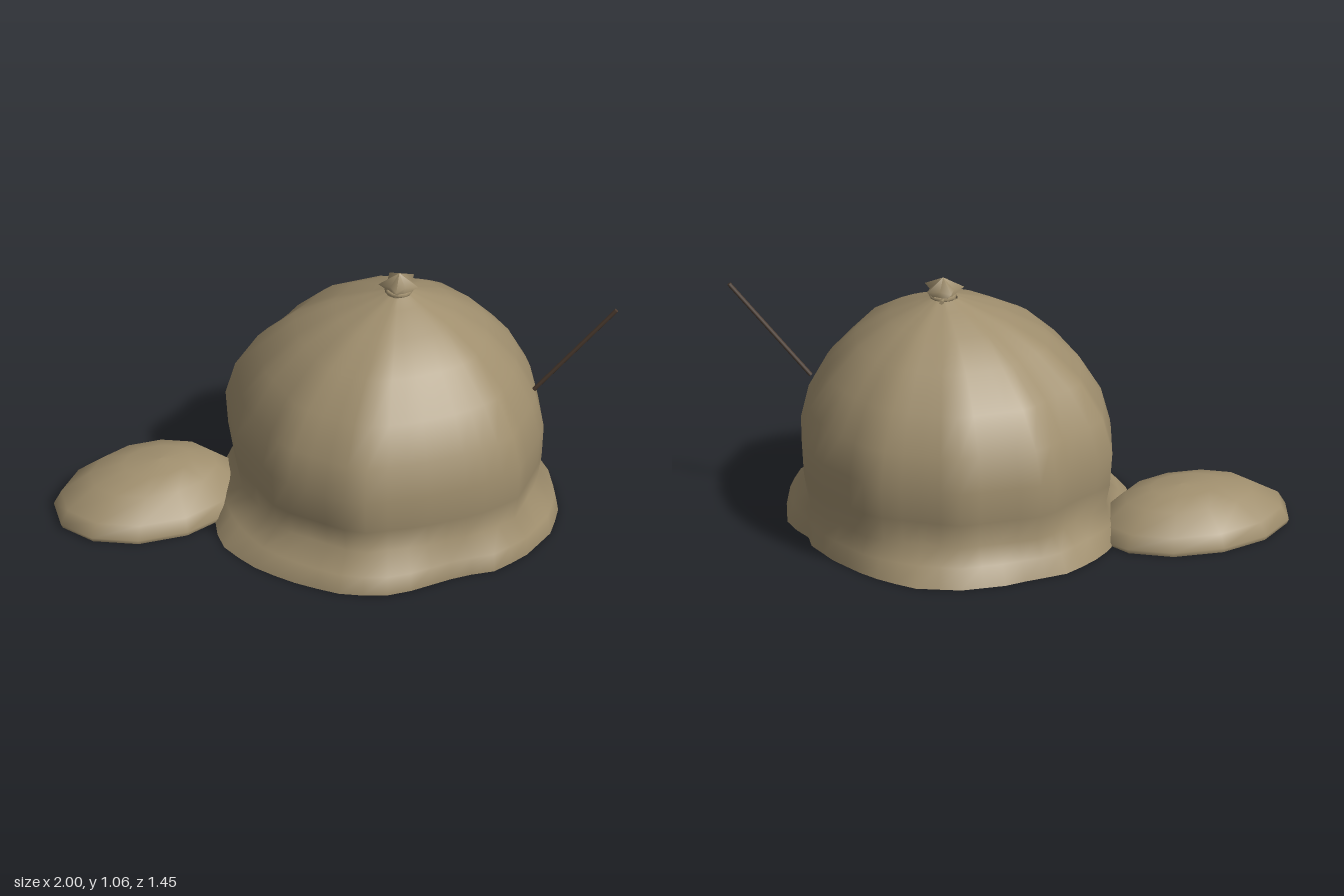
import * as THREE from 'three';

const cloth = new THREE.MeshStandardMaterial({ color: 0xa08f6e, side: THREE.DoubleSide });
const wood = new THREE.MeshStandardMaterial({ color: 0x4a3a2e });

// Turns an outline of [x, z] corners into a radius-by-angle function around (cx, cz)
function outlineRadius(points, cx, cz) {
  const tau = Math.PI * 2;
  const polar = points
    .map(([x, z]) => ({ a: (Math.atan2(z - cz, x - cx) + tau) % tau, r: Math.hypot(x - cx, z - cz) }))
    .sort((p, q) => p.a - q.a);
  return (angle) => {
    const n = polar.length;
    let k = polar.findIndex((p) => p.a > angle);
    if (k < 0) k = n;
    const p = polar[(k + n - 1) % n], q = polar[k % n];
    const span = (q.a - p.a + tau) % tau, t = (angle - p.a + tau) % tau;
    // straight edge between the two corners
    return (p.r * q.r * Math.sin(span)) / (p.r * Math.sin(t) + q.r * Math.sin(span - t));
  };
}

// Skins stacked rings; ring(row, angle) returns [x, y, z]
function skin(rows, sides, ring) {
  const pos = [], index = [];
  for (let i = 0; i < rows; i++) {
    for (let j = 0; j < sides; j++) {
      pos.push(...ring(i, (j / sides) * Math.PI * 2));
      if (i === rows - 1) continue;
      const a = i * sides + j, b = i * sides + ((j + 1) % sides);
      index.push(a, a + sides, b, b, a + sides, b + sides);
    }
  }
  const geo = new THREE.BufferGeometry();
  geo.setAttribute('position', new THREE.Float32BufferAttribute(pos, 3));
  geo.setIndex(index);
  geo.computeVertexNormals();
  return geo;
}

function rod(from, to, radius, sides) {
  const a = new THREE.Vector3(...from), b = new THREE.Vector3(...to);
  const mesh = new THREE.Mesh(new THREE.CylinderGeometry(radius, radius, a.distanceTo(b), sides), wood);
  mesh.position.copy(a).lerp(b, 0.5);
  mesh.quaternion.setFromUnitVectors(new THREE.Vector3(0, 1, 0), b.sub(a).normalize());
  return mesh;
}

export function createModel() {
  const model = new THREE.Group();
  const add = (name, mesh) => {
    mesh.name = name;
    model.add(mesh);
    return mesh;
  };

  // Domed cloth cover with a flared, uneven hem, open underneath
  const cx = 0.25, cz = 0.02, tipX = 0.29, tipZ = 0.04;
  const hem = outlineRadius([
    [-0.51, 0.04], [-0.47, 0.24], [-0.38, 0.42], [-0.26, 0.58], [-0.09, 0.675], [0.23, 0.68],
    [0.31, 0.72], [0.5, 0.68], [0.69, 0.57], [0.8, 0.43], [0.88, 0.24], [0.85, 0.11],
    [0.88, 0.04], [0.86, -0.15], [0.8, -0.35], [0.69, -0.53], [0.52, -0.63], [0.3, -0.67],
    [0.2, -0.645], [0.11, -0.675], [-0.07, -0.6], [-0.21, -0.5], [-0.35, -0.3], [-0.47, -0.12],
  ], cx, cz);
  const wall = outlineRadius([
    [0.87, -0.06], [0.79, -0.33], [0.5, -0.57], [0.13, -0.63], [-0.04, -0.53], [-0.22, -0.47],
    [-0.36, -0.15], [-0.385, 0.22], [-0.2, 0.55], [0.05, 0.63], [0.3, 0.665], [0.5, 0.64],
    [0.74, 0.42], [0.87, 0.13],
  ], cx, cz);
  // [height, share of the wall radius, share of the hem outline]
  const levels = [
    [0.012, 1, 1], [0.09, 0.97, 0.55], [0.155, 0.955, 0], [0.26, 0.985, 0], [0.4, 1, 0],
    [0.54, 0.945, 0], [0.685, 0.815, 0], [0.815, 0.61, 0], [0.905, 0.38, 0], [0.96, 0.17, 0],
    [0.985, 0.085, 0],
  ];
  add('domeCover', new THREE.Mesh(skin(levels.length, 48, (i, a) => {
    const [y, s, h] = levels[i];
    const flare = h > 0 && h < 1 ? h + 0.4 * Math.max(0, Math.sin(a)) : h;
    const r = THREE.MathUtils.lerp(wall(a) * s, hem(a), flare);
    const t = 1 - s;
    return [
      THREE.MathUtils.lerp(cx, tipX, t) + r * Math.cos(a), y,
      THREE.MathUtils.lerp(cz, tipZ, t) + r * Math.sin(a),
    ];
  }), cloth));

  // Gathered star-shaped tuft on top
  const tuft = [[0.965, 0.06, 0.06], [0.99, 0.045, 0.04], [1.025, 0.085, 0.052], [1.068, 0.001, 0.001]];
  add('topTuft', new THREE.Mesh(skin(tuft.length, 10, (i, a) => {
    const [y, outer, inner] = tuft[i];
    const r = Math.round(a / (Math.PI / 5)) % 2 ? outer : inner;
    return [tipX + r * Math.cos(a + 0.35), y, tipZ + r * Math.sin(a + 0.35)];
  }), cloth));

  // Cord tied round the tuft, with a loose end
  const cord = add('tieCord', new THREE.Mesh(new THREE.TorusGeometry(0.047, 0.009, 5, 12), cloth));
  cord.rotation.x = Math.PI / 2;
  cord.position.set(tipX, 0.99, tipZ);
  const end = add('cordEnd', rod([0.31, 0.99, 0], [0.33, 0.993, -0.03], 0.009, 5));
  end.material = cloth;

  // Low oval cover beside the dome, open underneath
  const mound = [[0.012, 0.98], [0.03, 1], [0.085, 0.93], [0.16, 0.66], [0.192, 0.35], [0.2, 0.001]];
  add('sideMound', new THREE.Mesh(skin(mound.length, 12, (i, a) => {
    const [y, s] = mound[i];
    return [-0.59 + 0.05 * (1 - s) + 0.41 * s * Math.cos(a), y, -0.43 + 0.305 * s * Math.sin(a)];
  }), cloth));

  // Thin stick leaning out of the cover
  add('stick', rod([0.71, 0.58, 0.39], [0.99, 0.96, 0.565], 0.009, 6));

  return model;
}
